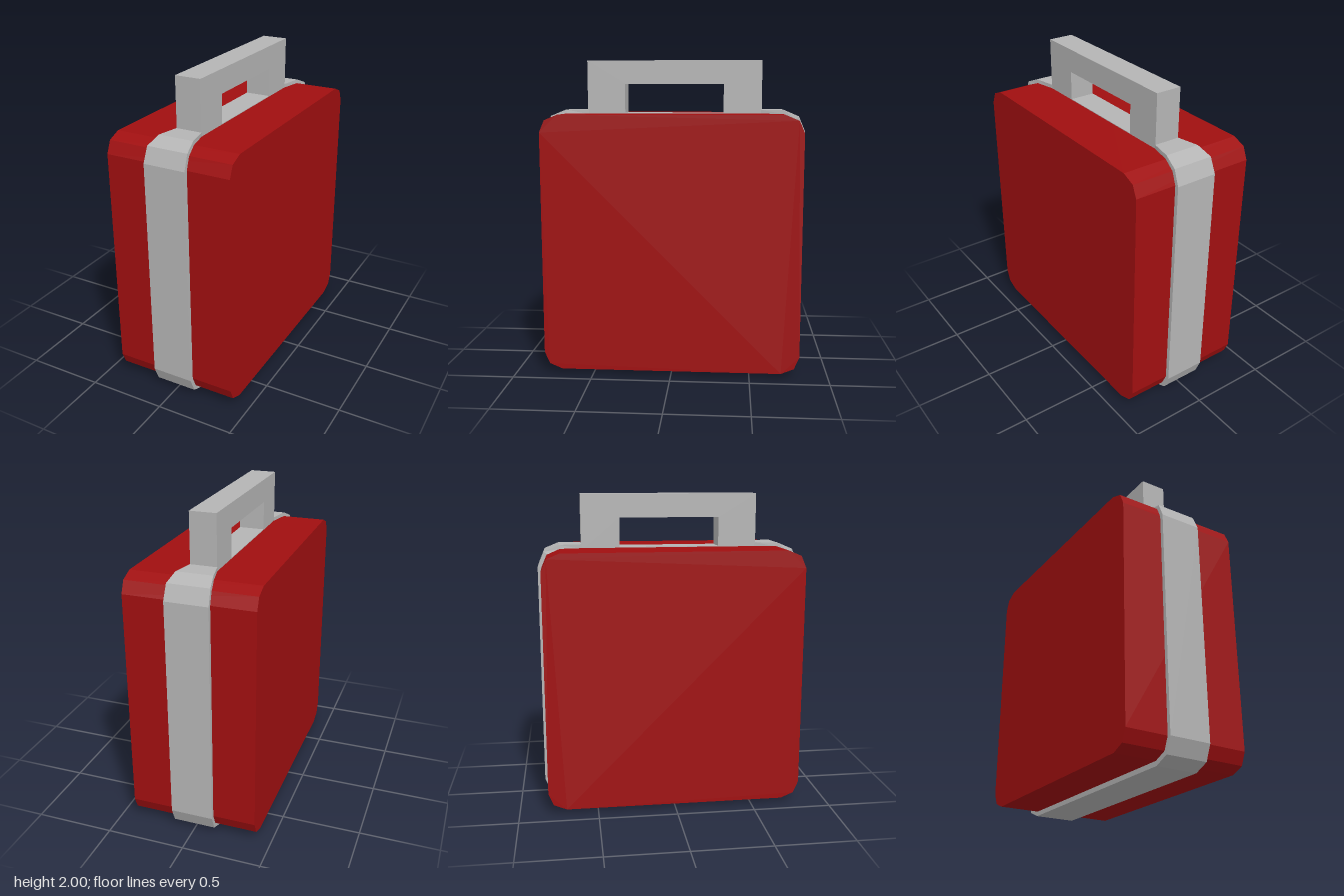
import * as THREE from 'three';

const red = new THREE.MeshStandardMaterial({ color: 0xa00f10 });
red.name = 'case red';
const grey = new THREE.MeshStandardMaterial({ color: 0xb4b4b4 });
grey.name = 'trim grey';

// Extrude a (z, y) outline to the given half-width along x, centred on x = 0.
function slab(points, halfWidth) {
  const shape = new THREE.Shape(points.map(([z, y]) => new THREE.Vector2(-z, y)));
  const geo = new THREE.ExtrudeGeometry(shape, { depth: halfWidth * 2, bevelEnabled: false });
  return geo.translate(0, 0, -halfWidth).rotateY(Math.PI / 2);
}

// Mirror a front half outline (top to bottom) to the back half (bottom to top).
const mirrorZ = (half) => [...half, ...half.map(([z, ...rest]) => [-z, ...rest]).reverse()];

// Front half outlines: z, y (and half-width for the band).
const bodyHalf = [[0.70, 1.66], [0.782, 1.626], [0.815, 1.55], [0.815, 0.14], [0.782, 0.064], [0.70, 0.03]];
const bandHalf = [
  [0.56, 1.685, 0.083], [0.705, 1.685, 0.114], [0.80, 1.645, 0.132], [0.84, 1.55, 0.135],
  [0.84, 0.135, 0.135], [0.80, 0.04, 0.135], [0.705, 0, 0.135],
];
const bandInnerHalf = [[0.56, 1.655], ...bodyHalf.map(([z, y]) => [z - 0.005, y])];

// Band: rectangular cross-sections swept around the case, narrowing towards the handle.
function bandGeometry() {
  const outer = mirrorZ(bandHalf);
  const inner = mirrorZ(bandInnerHalf);
  const sections = outer.map(([z, y, w], i) => {
    const [zi, yi] = inner[i];
    return [[w, y, z], [-w, y, z], [-w, yi, zi], [w, yi, zi]];
  });
  const pos = [];
  for (let i = 0; i < sections.length - 1; i++) {
    const s = sections[i], t = sections[i + 1];
    for (let k = 0; k < 4; k++) {
      const n = (k + 1) % 4;
      pos.push(...s[k], ...s[n], ...t[n], ...s[k], ...t[n], ...t[k]);
    }
  }
  const geo = new THREE.BufferGeometry();
  geo.setAttribute('position', new THREE.Float32BufferAttribute(pos, 3));
  geo.computeVertexNormals();
  return geo;
}

export function createModel() {
  const model = new THREE.Group();
  model.name = 'carryCase';
  const add = (name, geo, mat) => {
    const mesh = new THREE.Mesh(geo, mat);
    mesh.name = name;
    model.add(mesh);
    return mesh;
  };

  // Case with chamfered corners
  add('caseBody', slab(mirrorZ(bodyHalf), 0.405), red);

  // Raised band around the rim
  add('rimBand', bandGeometry(), grey);

  // Square handle, an upturned U
  const handleHalf = [[0.32, 1.85], [0.32, 1.64], [0.565, 1.64], [0.565, 2]];
  add('handle', slab(mirrorZ(handleHalf), 0.083), grey);

  // Thin strip on the case between the handle legs
  add('handleStrip', new THREE.BoxGeometry(0.166, 0.008, 0.64), grey).position.y = 1.66;

  return model;
}
